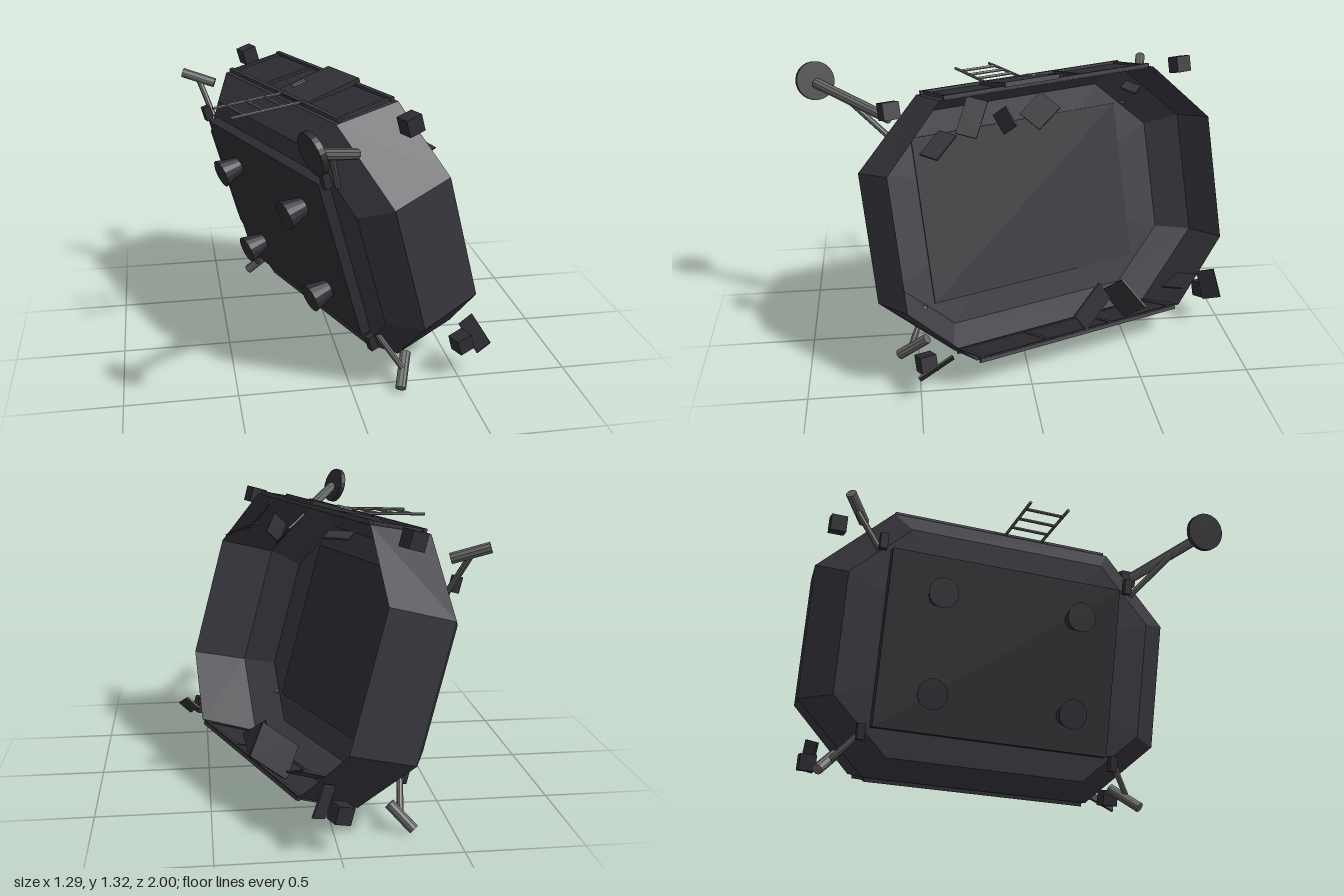
import * as THREE from 'three';

export function createModel() {
  const mat = (name, color, extra = {}) => {
    const m = new THREE.MeshStandardMaterial({ color, flatShading: true, ...extra });
    m.name = name;
    return m;
  };
  const hullMat = mat('dark hull', 0x37363d, { side: THREE.DoubleSide });
  const panelMat = mat('charcoal panel', 0x2d2c32);
  const scrapMat = mat('scrap plate', 0x323237);
  const metalMat = mat('grey metal', 0x666666);

  const root = new THREE.Group();
  root.name = 'crashedPod';
  // The pod rests tilted: local x = towards the open side, z = along its length
  const pod = new THREE.Group();
  pod.name = 'pod';
  pod.rotation.set(0, 0.36, 0.283, 'YXZ');
  root.add(pod);

  const CY = 0.622, CZ = -0.122; // centre of the pod in its own frame

  function add(parent, name, geo, material, x = 0, y = 0, z = 0) {
    const m = new THREE.Mesh(geo, material);
    m.name = name;
    m.position.set(x, y, z);
    parent.add(m);
    return m;
  }
  const box = (parent, name, material, w, h, d, x, y, z) =>
    add(parent, name, new THREE.BoxGeometry(w, h, d), material, x, y, z);

  function rod(parent, name, a, b, r, material, sides = 10) {
    const p = new THREE.Vector3(...a), q = new THREE.Vector3(...b);
    const dir = q.clone().sub(p);
    const m = add(parent, name, new THREE.CylinderGeometry(r, r, dir.length(), sides), material);
    m.position.copy(p).add(q).multiplyScalar(0.5);
    m.quaternion.setFromUnitVectors(new THREE.Vector3(0, 1, 0), dir.normalize());
    return m;
  }

  // Thin plate from its centre and two edge vectors
  function plate(name, c, e1, e2, t = 0.008) {
    const u = new THREE.Vector3(...e1), v = new THREE.Vector3(...e2);
    const w = u.length(), h = v.length();
    u.normalize();
    v.addScaledVector(u, -v.dot(u)).normalize();
    const m = box(root, name, scrapMat, w, h, t, ...c);
    m.quaternion.setFromRotationMatrix(
      new THREE.Matrix4().makeBasis(u, v, new THREE.Vector3().crossVectors(u, v)));
  }

  // Open octagonal shell: [x, half top length, half height, half side length, half side height]
  const sections = [
    [0.02, 0.46, 0.51, 0.72, 0.27],
    [0.13, 0.53, 0.6, 0.853, 0.298],
    [0.433, 0.54, 0.577, 0.823, 0.297],
  ];
  const ring = ([x, a, b, c, d]) =>
    [[a, b], [c, d], [c, -d], [a, -b], [-a, -b], [-c, -d], [-c, d], [-a, b]]
      .map(([z, y]) => [x, CY + y, CZ + z]);
  const rings = sections.map(ring);
  const pos = [];
  for (let i = 0; i < 8; i++) {
    const j = (i + 1) % 8;
    for (let s = 0; s < 2; s++) {
      const a = rings[s][i], b = rings[s][j], c = rings[s + 1][j], d = rings[s + 1][i];
      pos.push(...a, ...c, ...b, ...a, ...d, ...c);
    }
    pos.push(...[sections[0][0], CY, CZ], ...rings[0][i], ...rings[0][j]);
  }
  const hullGeo = new THREE.BufferGeometry();
  hullGeo.setAttribute('position', new THREE.Float32BufferAttribute(pos, 3));
  hullGeo.computeVertexNormals();
  add(pod, 'hull', hullGeo, hullMat);

  // Engine plate with four flared nozzles
  box(pod, 'basePlate', panelMat, 0.056, 0.79, 1.095, -0.001, 0.627, CZ);
  for (const sy of [-1, 1]) for (const sz of [-1, 1]) {
    const n = add(pod, 'nozzle', new THREE.CylinderGeometry(0.068, 0.042, 0.1, 16),
      panelMat, -0.078, 0.615 + sy * 0.222, CZ + sz * 0.325);
    n.rotation.z = Math.PI / 2;
    // Leg hinges beside the plate corners
    box(pod, 'legHinge', panelMat, 0.035, 0.07, 0.035, -0.01, 0.627 + sy * 0.42, CZ + sz * 0.59);
    // Thruster blocks off the chamfers
    box(pod, 'thrusterBlock', panelMat, 0.075, 0.075, 0.075, 0.351, 0.627 + sy * 0.558, CZ + sz * 0.745);
  }

  // Framed panels on the roof and the underside
  for (const s of [-1, 1]) {
    const frame = new THREE.Group();
    frame.name = s > 0 ? 'roofFrame' : 'undersideFrame';
    frame.position.set(0.285, CY + s * 0.589, CZ);
    frame.rotation.z = -s * 0.076;
    pod.add(frame);
    for (const x of [-0.13, 0.135])
      box(frame, 'frameRail', hullMat, 0.018, 0.022, 1.04, x, s * 0.006, 0);
    for (let i = 0; i < 4; i++)
      box(frame, 'frameCrossbar', hullMat, 0.265, 0.018, 0.018, 0, s * 0.005, -0.5 + i / 3);
    for (let i = 0; i < 3; i++)
      box(frame, 'framePanel', panelMat, 0.25, 0.006, 0.31, 0, s * 0.002, -0.333 + i / 3);
  }

  // Roof hatch and its handle
  box(pod, 'hatch', scrapMat, 0.295, 0.022, 0.27, 0.293, 1.222, -0.026);
  box(pod, 'hatchHandle', metalMat, 0.07, 0.015, 0.02, 0.25, 1.236, -0.115);

  // Ladder reaching out from the hatch
  const L0 = [-0.54, 1.2, 0.085], L1 = [-0.17, 1.23, -0.05];
  const off = [0.065, 0, 0.17];
  const shift = (p) => p.map((v, i) => v + off[i]);
  rod(root, 'ladderRail', L0, L1, 0.007, metalMat, 6);
  rod(root, 'ladderRail', shift(L0), shift(L1), 0.007, metalMat, 6);
  for (const t of [0.17, 0.41, 0.64]) {
    const p = L0.map((v, i) => v + (L1[i] - v) * t);
    rod(root, 'ladderRung', p, shift(p), 0.007, metalMat, 6);
  }

  // Legs: [foot end, inner end, strut start, strut end]
  const legs = [
    [[-0.21, 1.235, 0.91], [0, 1.12, 0.58], [-0.07, 0.98, 0.56], [-0.13, 1.18, 0.77]],
    [[-0.64, 1.18, -0.7], [-0.485, 1.13, -0.66], [-0.5, 0.98, -0.58], [-0.56, 1.14, -0.68]],
    [[-0.33, 0.022, -0.81], [-0.235, 0.12, -0.76], [-0.3, 0.2, -0.64], [-0.28, 0.08, -0.77]],
    [[0.21, 0.022, 0.59], [0.26, 0.13, 0.46], [0.13, 0.23, 0.46], [0.23, 0.09, 0.53]],
  ];
  for (const [foot, inner, s0, s1] of legs) {
    rod(root, 'leg', foot, inner, 0.024, metalMat);
    rod(root, 'legStrut', s0, s1, 0.014, metalMat, 8);
  }

  // Foot pad left on one leg
  const v = new THREE.Vector3(-0.225, 1.24, 0.912).applyQuaternion(pod.quaternion.clone().invert());
  add(pod, 'footPad', new THREE.CylinderGeometry(0.088, 0.088, 0.025, 24), panelMat, v.x, v.y, v.z)
    .rotation.z = Math.PI / 2;

  // Loose torn plates around the open side: [centre, edge, edge]
  const scraps = [
    [[0.59, 0.18, 0.43], [0.045, -0.075, 0.15], [0.05, 0.06, -0.01]],
    [[0.28, 0.26, -0.31], [-0.1, 0.11, -0.13], [-0.03, -0.085, -0.07]],
    [[0.22, 0.26, -0.47], [0.16, 0.14, -0.06], [0.06, -0.12, -0.1]],
    [[0.06, 0.22, -0.93], [0.05, -0.13, -0.03], [0.06, 0.02, -0.07]],
    [[0.1, 0.27, -0.77], [0.13, 0.06, -0.06], [0.03, -0.05, 0.1]],
    [[0.3, 1.1, 0.38], [0.12, -0.06, 0.09], [0.05, -0.01, -0.07]],
    [[0.22, 1.19, 0.23], [-0.1, 0.13, -0.06], [0.05, -0.04, -0.07]],
    [[0.16, 1.15, 0.08], [0.06, 0.06, -0.05], [0.06, -0.05, -0.06]],
    [[0.11, 1.17, -0.08], [-0.05, 0.08, -0.1], [0.06, -0.03, -0.1]],
    [[-0.05, 1.21, -0.52], [0.1, 0, 0.05], [0.04, -0.02, -0.06]],
  ];
  for (const s of scraps) plate('scrapPlate', ...s);

  return root;
}
